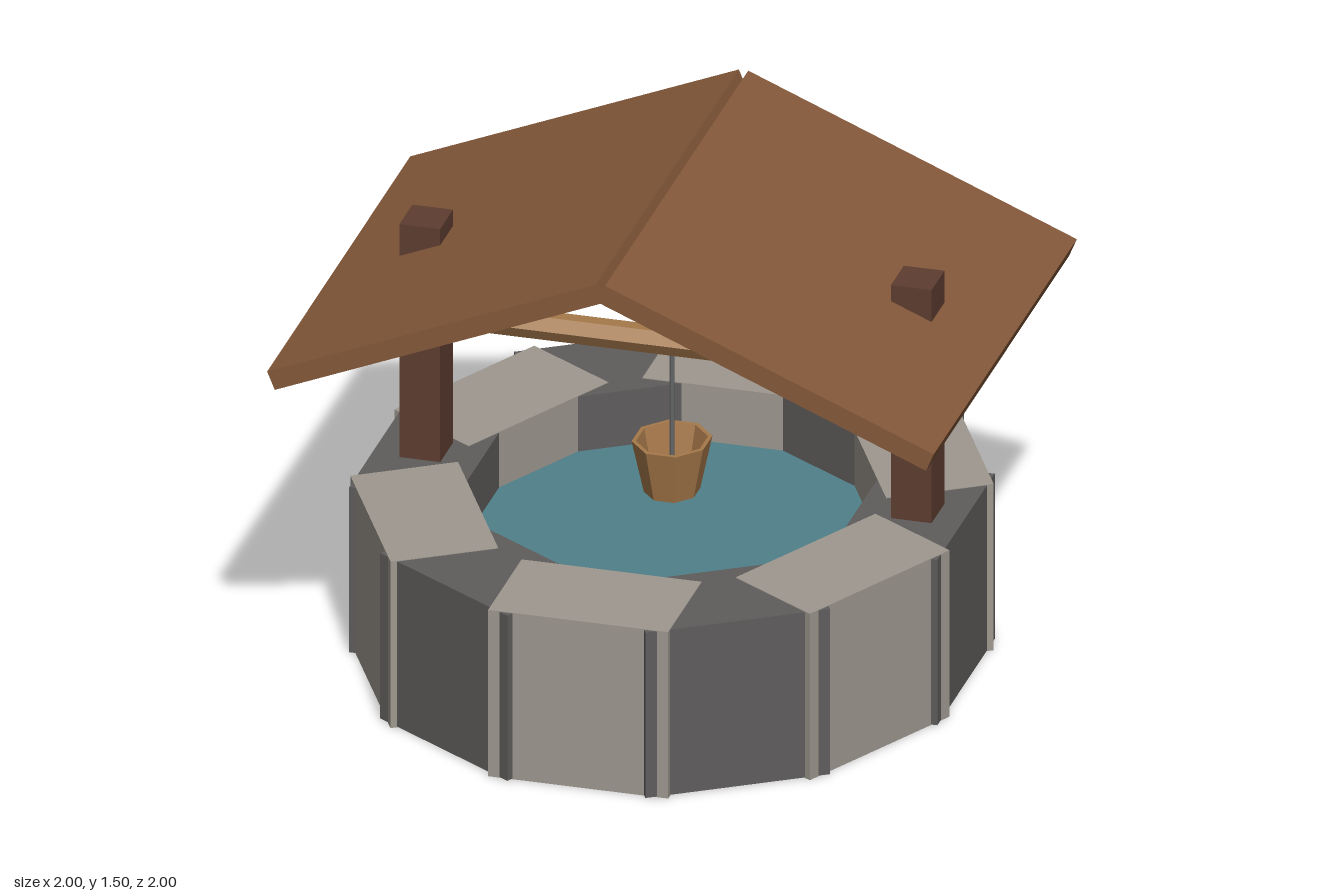
import * as THREE from 'three';

const mat = (name, color) => {
  const m = new THREE.MeshStandardMaterial({ color, flatShading: true });
  m.name = name;
  return m;
};

export function createModel() {
  const model = new THREE.Group();
  model.name = 'well';

  const lightStone = mat('light stone', 0x9e988f);
  const darkStone = mat('dark stone', 0x5f5d5c);
  const waterBlue = mat('water', 0x4f808a);
  const roofWood = mat('roof wood', 0x85593a);
  const postWood = mat('post wood', 0x5e3d30);
  const paleWood = mat('pale wood', 0xa6784a);
  const metal = mat('metal', 0x626365);

  const add = (parent, name, geometry, material, x = 0, y = 0, z = 0) => {
    const mesh = new THREE.Mesh(geometry, material);
    mesh.name = name;
    mesh.position.set(x, y, z);
    parent.add(mesh);
    return mesh;
  };

  // Ring of twelve overlapping stone blocks in two alternating greys, narrowed in x
  const ring = new THREE.Group();
  ring.name = 'stoneRing';
  ring.scale.x = 0.9;
  model.add(ring);
  for (let i = 0; i < 12; i++) {
    const dark = i % 2 === 1;
    // dark blocks are a hair shorter so overlapping tops stay clean
    const block = new THREE.BoxGeometry(0.6, dark ? 0.528 : 0.532, 0.35);
    block.translate(0, 0.266, 0.805);
    add(ring, 'stoneBlock', block, dark ? darkStone : lightStone).rotation.y = i * Math.PI / 6;
  }

  // Water, its rim buried in the blocks
  add(ring, 'water', new THREE.CylinderGeometry(0.69, 0.69, 0.03, 24), waterBlue, 0, 0.34, 0);

  // Posts
  for (const side of [-1, 1]) {
    add(model, side > 0 ? 'leftPost' : 'rightPost',
      new THREE.BoxGeometry(0.122, 0.775, 0.135), postWood, side * 0.737, 0.8875, 0);
  }

  // Two sloping roof slabs meeting at the ridge
  for (const side of [-1, 1]) {
    const slab = add(model, side > 0 ? 'leftRoof' : 'rightRoof',
      new THREE.BoxGeometry(1.067, 0.06, 1.494), roofWood, side * 0.4955, 1.266, 0);
    slab.rotation.z = -side * Math.PI / 8;
  }

  // Six-sided axle between the posts, an edge facing the front
  const axle = new THREE.CylinderGeometry(0.042, 0.042, 1.4, 6);
  axle.rotateZ(Math.PI / 2);
  add(model, 'axle', axle, paleWood, 0, 0.975, 0);

  // Crank arm on the outside of the left post
  add(model, 'crank', new THREE.BoxGeometry(0.05, 0.042, 0.275), metal, 0.81, 0.976, -0.108);

  // Rope
  add(model, 'rope', new THREE.CylinderGeometry(0.008, 0.008, 0.45, 6), metal, 0, 0.745, 0);

  // Hollow eight-sided bucket
  const profile = [[0, 0.5], [0.09, 0.5], [0.129, 0.664], [0.115, 0.664], [0.08, 0.52], [0, 0.52]]
    .map(([x, y]) => new THREE.Vector2(x, y));
  const bucket = add(model, 'bucket', new THREE.LatheGeometry(profile, 8, Math.PI / 8), paleWood);
  bucket.scale.x = 0.9;

  return model;
}
